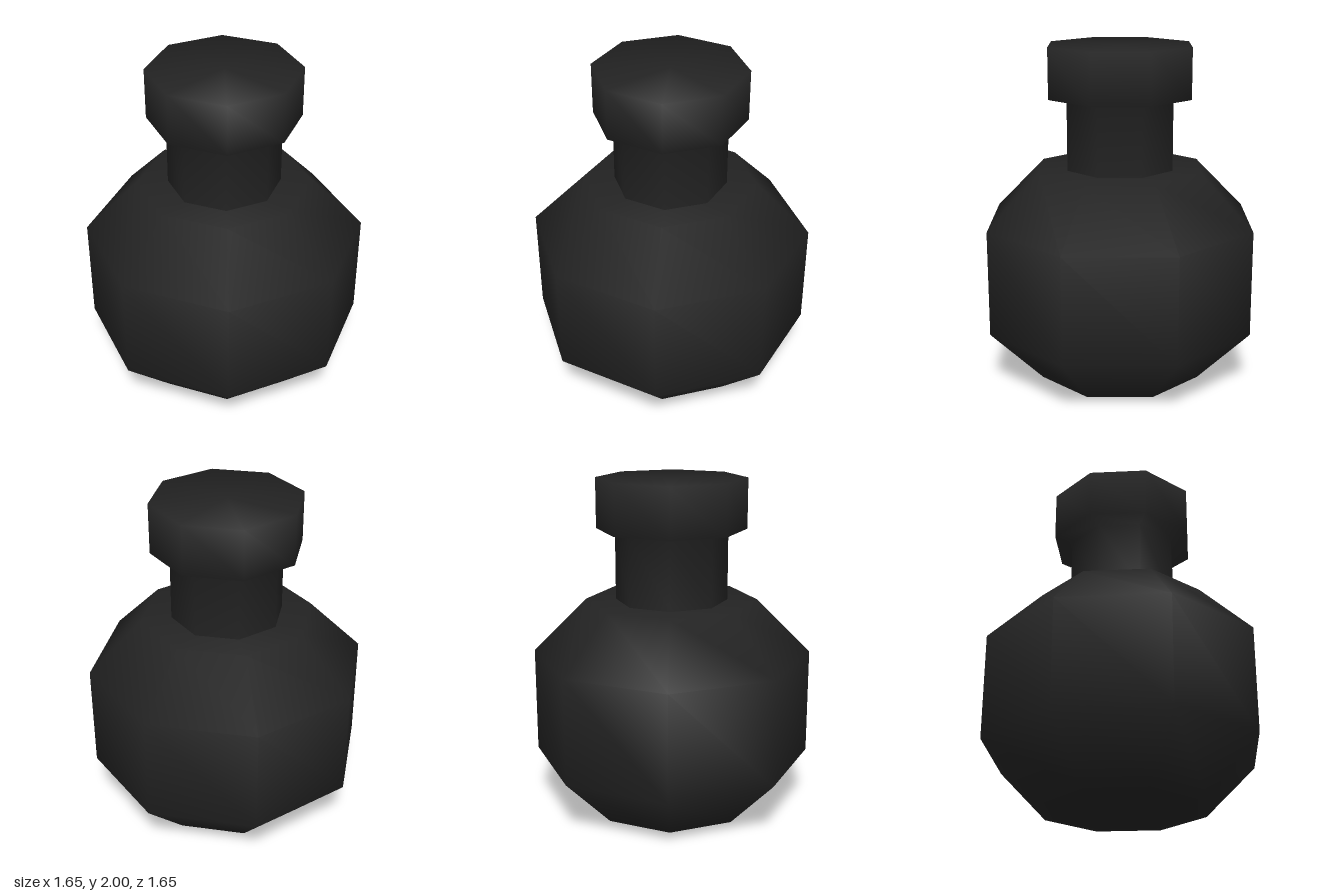
import * as THREE from 'three';

const SIDES = 8;

// Eight-sided smooth-shaded solid of revolution from [radius, height] pairs, bottom to top
function turned(name, profile, material) {
  const points = profile.map(([r, y]) => new THREE.Vector2(r, y));
  const mesh = new THREE.Mesh(new THREE.LatheGeometry(points, SIDES), material);
  mesh.name = name;
  return mesh;
}

export function createModel() {
  const group = new THREE.Group();
  group.name = 'flask';

  const black = new THREE.MeshStandardMaterial({ color: 0x232323 });
  black.name = 'black';

  // Round belly with a faintly domed base and a flat shoulder
  group.add(turned('body', [
    [0, 0], [0.17, 0.003], [0.505, 0.015], [0.825, 0.34],
    [0.825, 0.965], [0.505, 1.285], [0, 1.285],
  ], black));

  // Neck flowing into the wider stopper
  group.add(turned('neckAndStopper', [
    [0.33, 1.28], [0.33, 1.685], [0.44, 1.705], [0.44, 2], [0, 2],
  ], black));

  return group;
}
